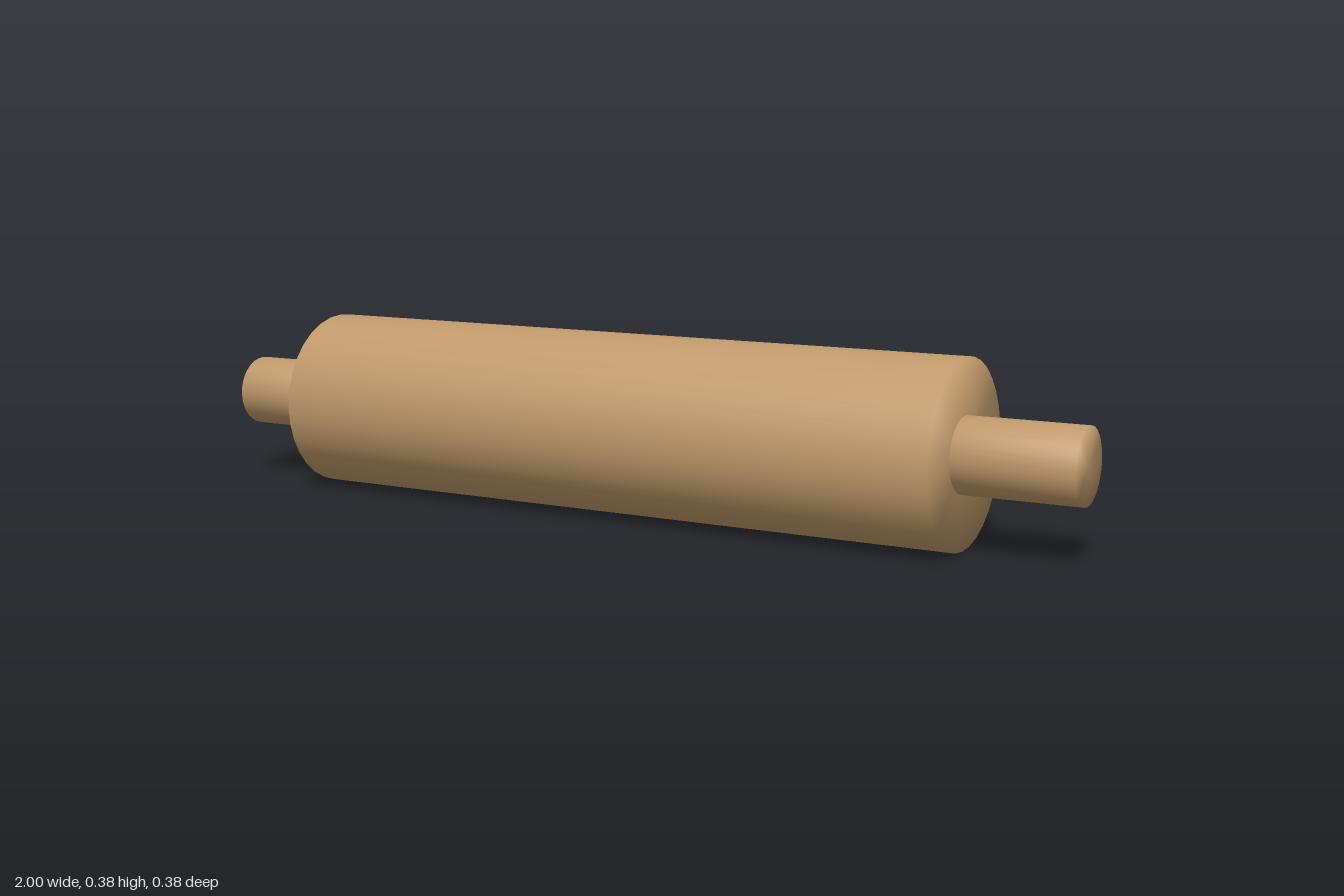
import * as THREE from 'three';
import { mergeVertices } from 'three/addons/utils/BufferGeometryUtils.js';

const RADIUS = 0.19;

// Solid cylinder along x, welded so the shading runs smoothly over the rims.
function rod(name, radius, x0, x1, material) {
  let geometry = new THREE.CylinderGeometry(radius, radius, x1 - x0, 32);
  geometry.deleteAttribute('normal');
  geometry.deleteAttribute('uv');
  geometry = mergeVertices(geometry);
  geometry.rotateZ(-Math.PI / 2);
  geometry.computeVertexNormals();
  const mesh = new THREE.Mesh(geometry, material);
  mesh.name = name;
  mesh.position.set((x0 + x1) / 2, RADIUS, 0);
  return mesh;
}

export function createModel() {
  const group = new THREE.Group();
  group.name = 'rollingPin';
  const wood = new THREE.MeshStandardMaterial({ color: 0xc19a6b });

  // Thick roller barrel
  group.add(rod('roller', RADIUS, -0.763, 0.755, wood));
  // Thin handles at both ends
  group.add(rod('leftHandle', 0.077, 0.745, 1, wood));
  group.add(rod('rightHandle', 0.077, -1, -0.753, wood));
  return group;
}
